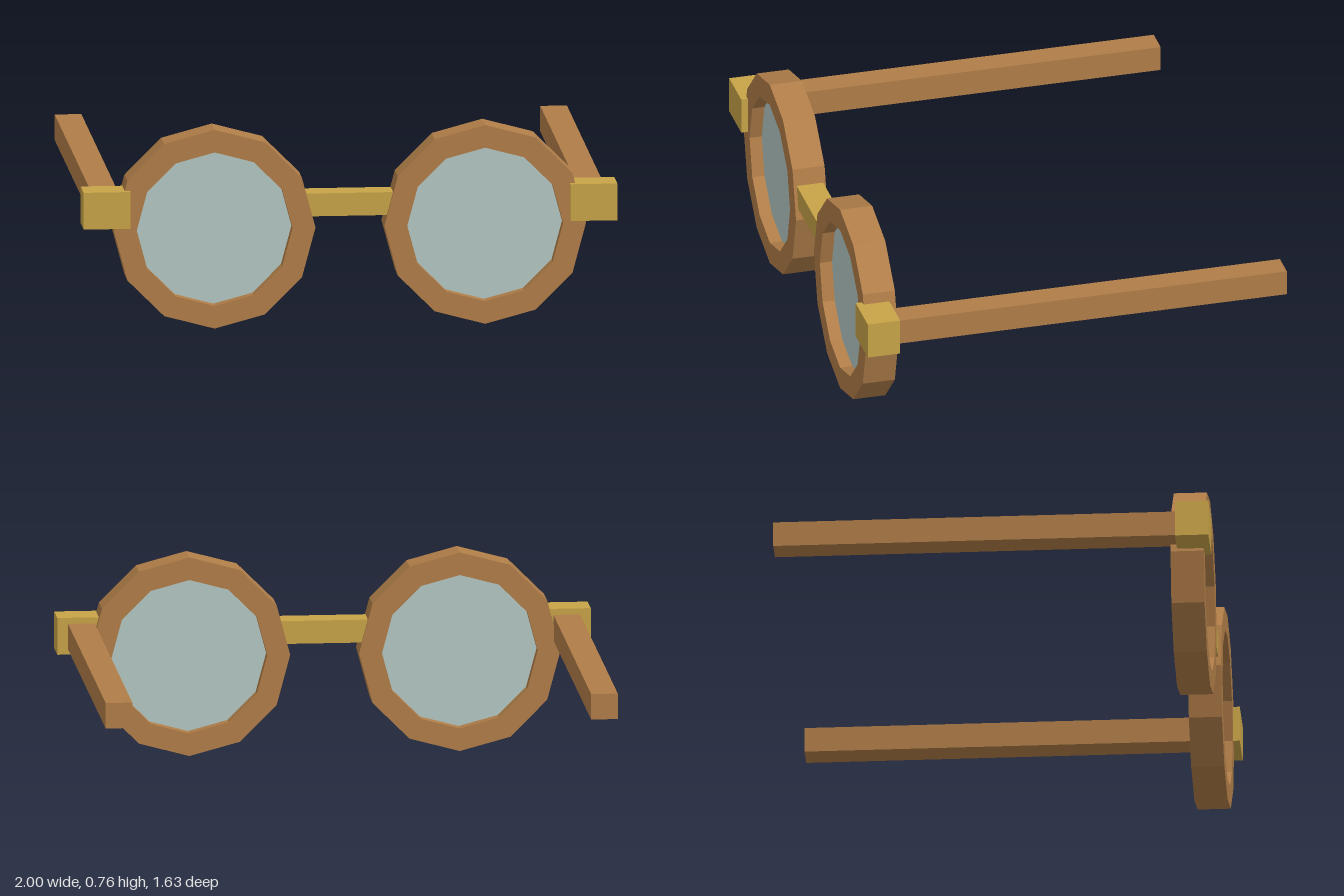
import * as THREE from 'three';

const material = (name, color) => {
  const m = new THREE.MeshStandardMaterial({ color });
  m.name = name;
  return m;
};

// Corners of a regular twelve-sided outline with one corner at the top
const ringPoints = (radius) => Array.from({ length: 12 }, (_, i) => {
  const a = (i / 12) * Math.PI * 2;
  return new THREE.Vector2(Math.cos(a) * radius, Math.sin(a) * radius);
});

export function createModel() {
  const wood = material('wood', 0xb07d48);
  const brass = material('brass', 0xc8a448);
  const glass = material('glass', 0xb4c9c4);
  const model = new THREE.Group();
  model.name = 'spectacles';

  const add = (name, geometry, mat, x, y, z) => {
    const mesh = new THREE.Mesh(geometry, mat);
    mesh.name = name;
    mesh.position.set(x, y, z);
    model.add(mesh);
  };

  // Box given by its lower and upper corners
  const addBox = (name, mat, [x0, y0, z0], [x1, y1, z1]) => add(
    name, new THREE.BoxGeometry(x1 - x0, y1 - y0, z1 - z0), mat,
    (x0 + x1) / 2, (y0 + y1) / 2, (z0 + z1) / 2);

  // Rim: twelve-sided frame with an open centre
  const rimShape = new THREE.Shape(ringPoints(0.378));
  rimShape.holes.push(new THREE.Path(ringPoints(0.292).reverse()));
  const rim = new THREE.ExtrudeGeometry(rimShape, { depth: 0.124, bevelEnabled: false });

  // Lens: thin pane seated inside the rim
  const lens = new THREE.ExtrudeGeometry(new THREE.Shape(ringPoints(0.297)),
    { depth: 0.03, bevelEnabled: false });

  for (const [side, s] of [['left', 1], ['right', -1]]) {
    add(`${side}Rim`, rim, wood, s * 0.507, 0.378, 0.666);
    add(`${side}Lens`, lens, glass, s * 0.507, 0.378, 0.713);

    // Hinge block and straight temple arm, mirrored by side
    const span = (a, b) => (s > 0 ? [a, b] : [-b, -a]);
    const [h0, h1] = span(0.825, 1);
    addBox(`${side}Hinge`, brass, [h0, 0.39, 0.69], [h1, 0.53, 0.815]);
    const [t0, t1] = span(0.86, 0.96);
    addBox(`${side}Temple`, wood, [t0, 0.41, -0.815], [t1, 0.507, 0.73]);
  }

  // Bridge between the rims
  addBox('bridge', brass, [-0.175, 0.418, 0.676], [0.175, 0.505, 0.778]);
  return model;
}
